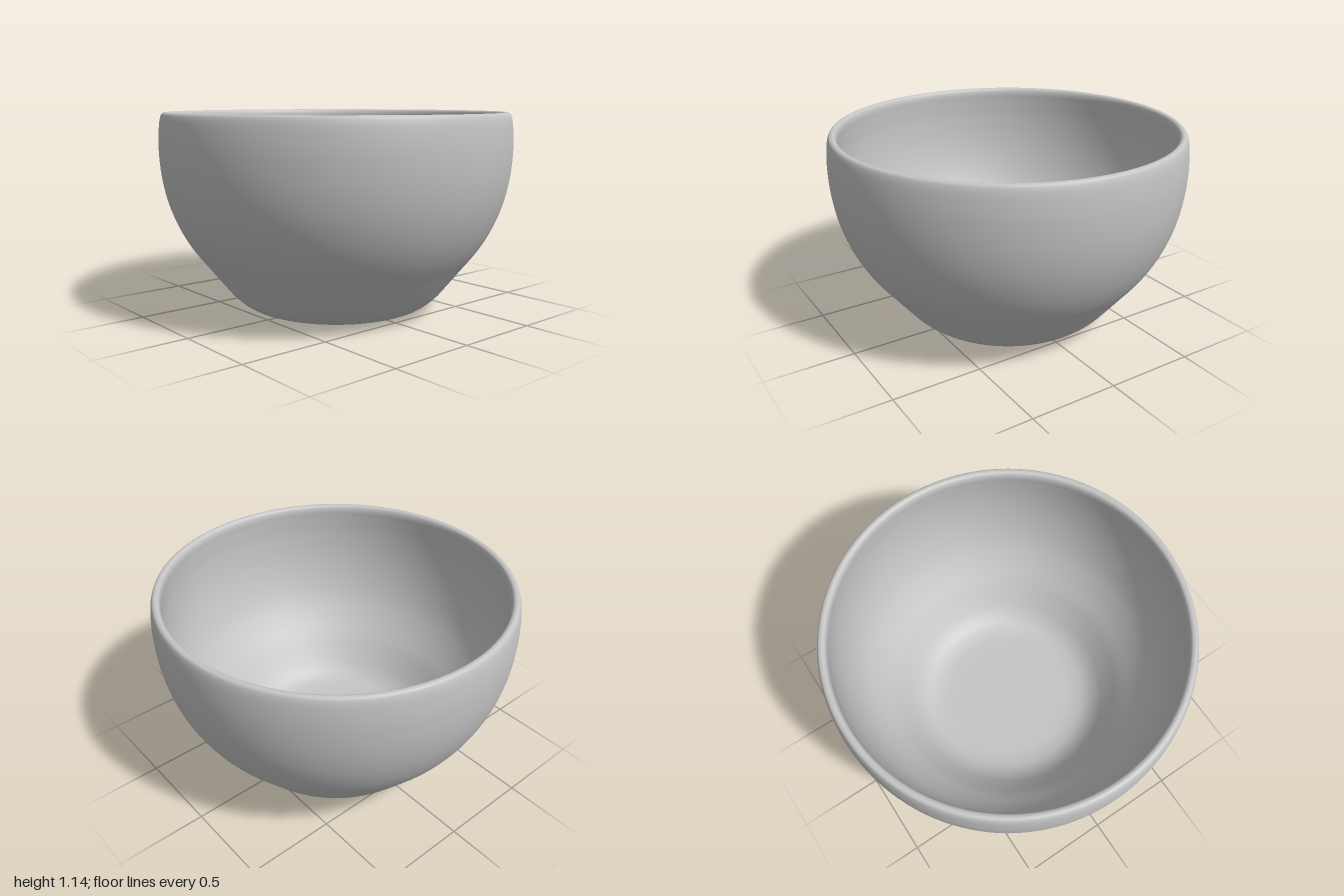
import * as THREE from 'three';

const glaze = new THREE.MeshStandardMaterial({ color: 0xc4c4c4 });
glaze.name = 'grey glaze';

// Smooth [radius, height] curve through the given points
function smoothProfile(points, divisions) {
  const curve = new THREE.CatmullRomCurve3(points.map(([r, y]) => new THREE.Vector3(r, y, 0)), false, 'centripetal');
  return curve.getPoints(divisions).map((p) => new THREE.Vector2(Math.max(p.x, 0), Math.max(p.y, 0)));
}

export function createModel() {
  const bowl = new THREE.Group();
  bowl.name = 'bowl';

  // One continuous profile: underside, outer wall, rounded rim, inner wall, floor
  const profile = smoothProfile([
    [0, 0], [0.2, 0], [0.38, 0.003], [0.46, 0.014], [0.53, 0.04], [0.6, 0.095], [0.66, 0.165],
    [0.74, 0.265], [0.83, 0.38], [0.9, 0.5], [0.955, 0.64], [0.988, 0.79], [1, 0.95],
    [0.995, 1.06], [0.986, 1.115], [0.976, 1.135], [0.96, 1.14], [0.945, 1.133], [0.937, 1.11],
    [0.939, 1.06], [0.942, 0.95], [0.93, 0.8], [0.9, 0.66], [0.85, 0.525], [0.78, 0.41],
    [0.69, 0.295], [0.62, 0.2], [0.56, 0.13], [0.5, 0.088], [0.43, 0.068], [0.36, 0.062],
    [0.2, 0.06], [0, 0.06],
  ], 160);
  const body = new THREE.Mesh(new THREE.LatheGeometry(profile, 128), glaze);
  body.name = 'bowlBody';
  bowl.add(body);

  return bowl;
}
